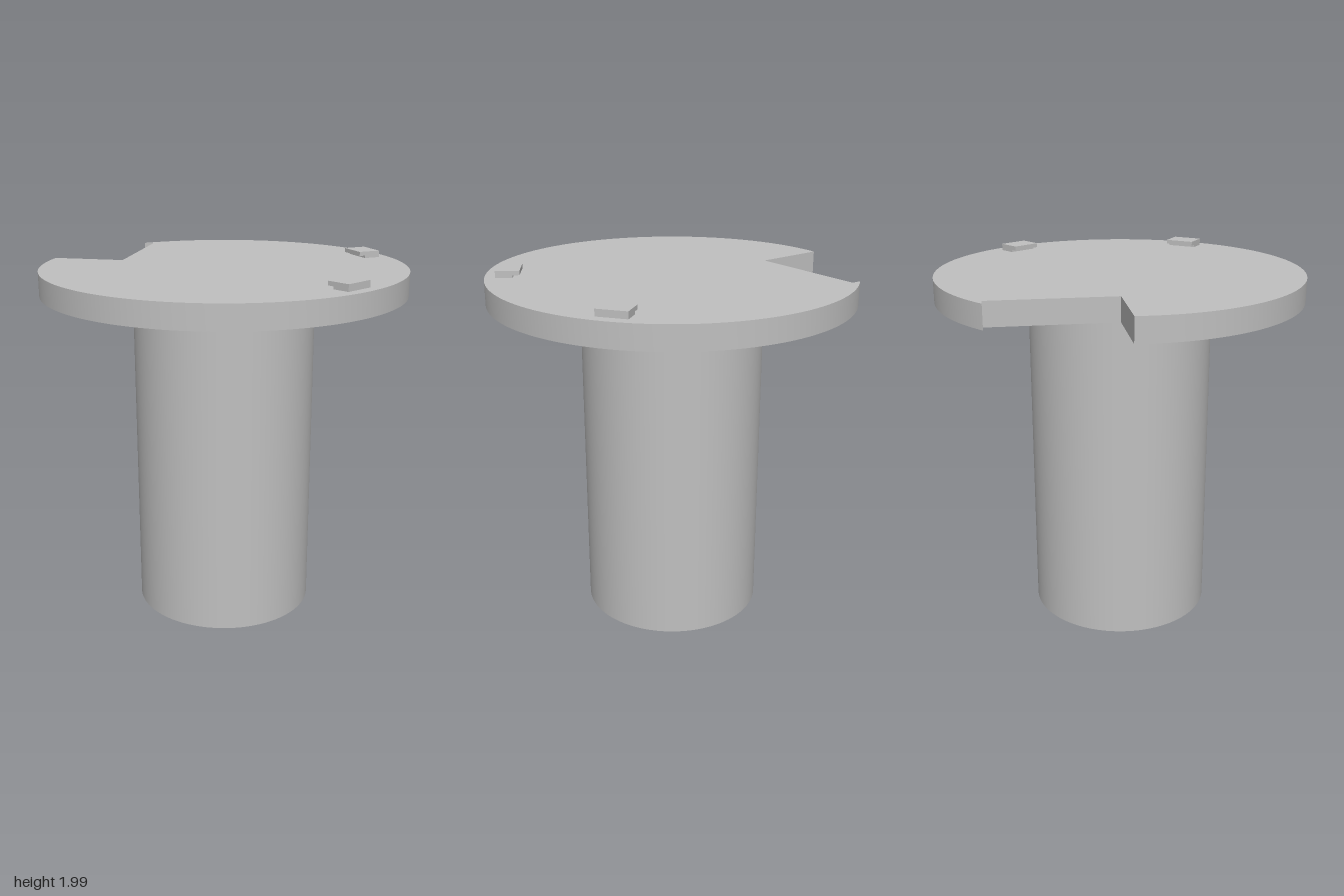
import * as THREE from 'three';
import { toCreasedNormals } from 'three/addons/utils/BufferGeometryUtils.js';

const DISC_BOTTOM = 1.825;
const DISC_TOP = 1.955;
const TOP = 1.992;

export function createModel() {
  const model = new THREE.Group();
  const grey = new THREE.MeshStandardMaterial({ color: 0xc0c0c0 });
  grey.name = 'grey';

  const add = (name, geometry) => {
    const mesh = new THREE.Mesh(geometry, grey);
    mesh.name = name;
    model.add(mesh);
    return mesh;
  };

  // round shaft
  add('shaft', new THREE.CylinderGeometry(0.5, 0.5, DISC_BOTTOM, 96))
    .position.y = DISC_BOTTOM / 2;

  // flange disc with a rectangular notch cut into its edge (shape y is -z)
  const notchX = -0.6, near = 0.085, far = 0.755;
  const outline = new THREE.Shape();
  outline.moveTo(notchX, near);
  outline.lineTo(notchX, far);
  outline.absarc(0, 0, 1, Math.PI - Math.asin(far), Math.PI - Math.asin(near), true);
  outline.closePath();
  const disc = new THREE.ExtrudeGeometry(outline, {
    depth: DISC_TOP - DISC_BOTTOM, bevelEnabled: false, curveSegments: 128,
  });
  disc.rotateX(-Math.PI / 2);
  add('flange', toCreasedNormals(disc, Math.PI / 6)).position.y = DISC_BOTTOM;

  // two hooked lugs, each with a lip overhanging towards the centre
  const length = 0.129, width = 0.165, lip = 0.037;
  const h = TOP - DISC_TOP, lipBottom = 0.014;
  const profile = new THREE.Shape([
    [-length / 2 + lip, 0], [length / 2, 0], [length / 2, h],
    [-length / 2, h], [-length / 2, lipBottom], [-length / 2 + lip, lipBottom],
  ].map(([x, y]) => new THREE.Vector2(x, y)));
  const lug = new THREE.ExtrudeGeometry(profile, { depth: width, bevelEnabled: false });
  lug.translate(0, 0, -width / 2);
  for (const side of [-1, 1]) {
    const mesh = add(side > 0 ? 'frontLug' : 'backLug', lug);
    mesh.position.set(0.715, DISC_TOP, side * 0.503);
    mesh.rotation.y = -side * Math.atan2(0.503, 0.715);
  }

  return model;
}
